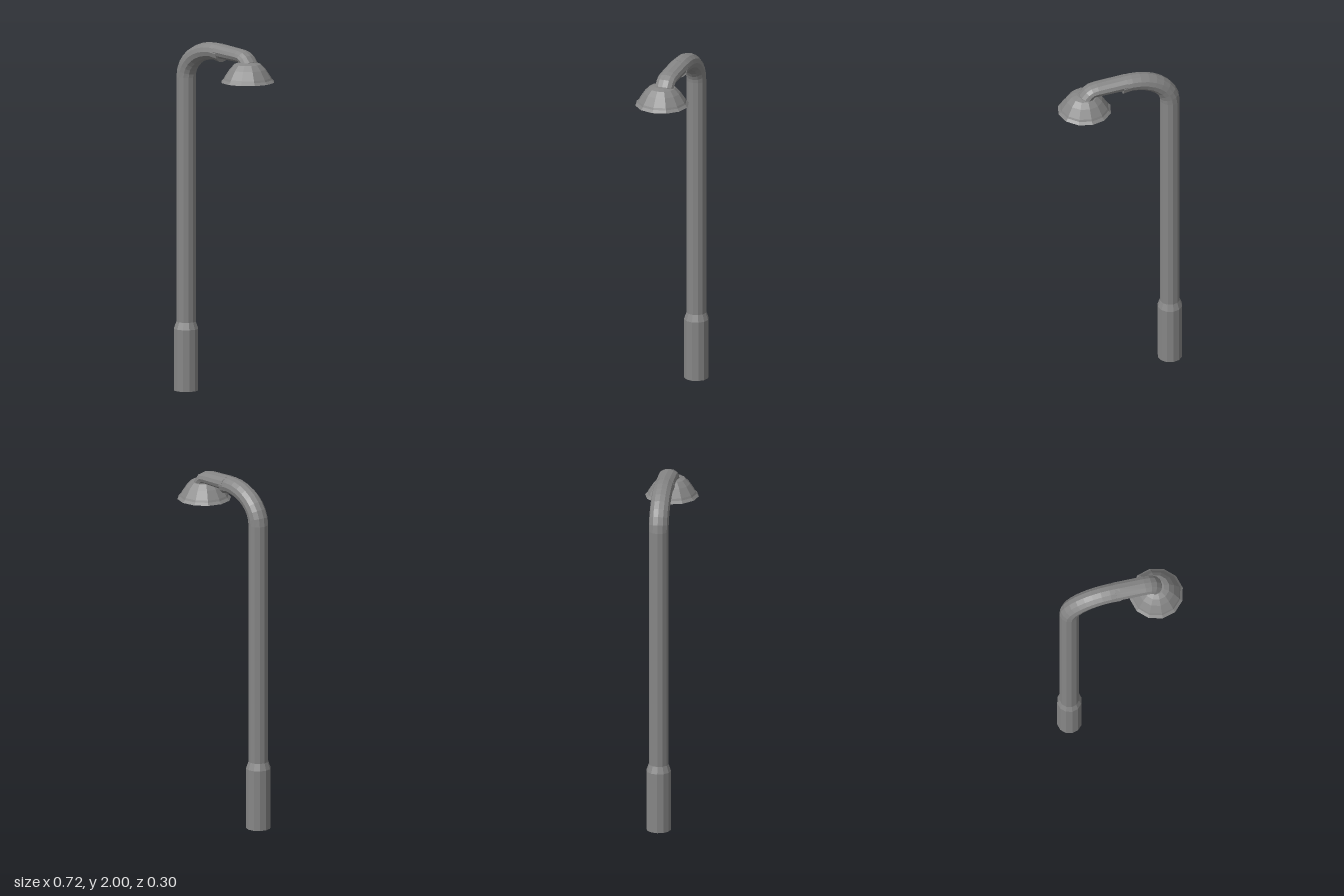
import * as THREE from 'three';

const SIDES = 12;
const POLE_X = -0.291, POLE_Z = -0.013;

// Tube through rings of [x, y, heading in degrees, half height], closed at both ends
function loftArm(rings, halfWidth) {
  const pos = [], index = [];
  for (const [x, y, deg, h] of rings) {
    const a = THREE.MathUtils.degToRad(deg);
    for (let j = 0; j < SIDES; j++) {
      const t = (j / SIDES) * Math.PI * 2;
      const up = h * Math.cos(t);
      pos.push(x - Math.sin(a) * up, y + Math.cos(a) * up, halfWidth * Math.sin(t));
    }
  }
  for (let i = 0; i < rings.length - 1; i++) {
    for (let j = 0; j < SIDES; j++) {
      const k = (j + 1) % SIDES;
      const a = i * SIDES + j, b = i * SIDES + k;
      index.push(a, b, b + SIDES, a, b + SIDES, a + SIDES);
    }
  }
  const last = (rings.length - 1) * SIDES;
  for (let j = 1; j < SIDES - 1; j++) {
    index.push(0, j + 1, j, last, last + j, last + j + 1);
  }
  const geo = new THREE.BufferGeometry();
  geo.setAttribute('position', new THREE.Float32BufferAttribute(pos, 3));
  geo.setIndex(index);
  geo.computeVertexNormals();
  return geo;
}

// Elliptical quarter bend from the upright to the level outreach
function bendRings(steps) {
  const endX = -0.06, baseY = 1.78, rx = endX - POLE_X, ry = 0.172;
  const rings = [];
  for (let i = 0; i <= steps; i++) {
    const f = i / steps, u = f * Math.PI / 2;
    const heading = Math.atan2(ry * Math.cos(u), rx * Math.sin(u));
    rings.push([
      endX - rx * Math.cos(u), baseY + ry * Math.sin(u),
      THREE.MathUtils.radToDeg(heading), THREE.MathUtils.lerp(0.056, 0.048, f),
    ]);
  }
  return rings;
}

const lathe = (profile) =>
  new THREE.LatheGeometry(profile.map(([r, y]) => new THREE.Vector2(r, y)), SIDES);

export function createModel() {
  const group = new THREE.Group();
  const material = new THREE.MeshStandardMaterial({ color: 0x868686, flatShading: true });
  const add = (name, geometry, x, z) => {
    const mesh = new THREE.Mesh(geometry, material);
    mesh.name = name;
    mesh.position.set(x, 0, z);
    group.add(mesh);
  };

  // Thick foot with a tapered collar
  add('base', lathe([[0, 0], [0.07, 0], [0.07, 0.35], [0.056, 0.39]]), POLE_X, POLE_Z);

  // Straight upright
  add('pole', lathe([[0.056, 0.39], [0.056, 1.78]]), POLE_X, POLE_Z);

  // Bend with its end slightly drooped
  add('bend', loftArm([...bendRings(8), [-0.005, 1.946, -3, 0.052]], 0.056), 0, POLE_Z);

  // Flatter outreach sleeved into the bend, dropping into the shade
  add('outreach', loftArm([
    [-0.03, 1.957, -1, 0.042],
    [0.14, 1.948, -3, 0.037],
    [0.168, 1.944, -20, 0.035],
    [0.185, 1.932, -45, 0.038],
    [0.203, 1.91, -68, 0.04],
    [0.208, 1.89, -90, 0.041],
  ], 0.056), 0, POLE_Z);

  // Hollow shade: inside from the crown down, round the lip, then up the outside
  add('shade', lathe([
    [0, 1.895], [0.065, 1.895], [0.122, 1.83], [0.14, 1.81],
    [0.152, 1.81], [0.138, 1.824], [0.133, 1.835], [0.102, 1.882],
    [0.074, 1.911], [0.045, 1.92], [0, 1.922],
  ]), 0.207, 0);

  return group;
}
